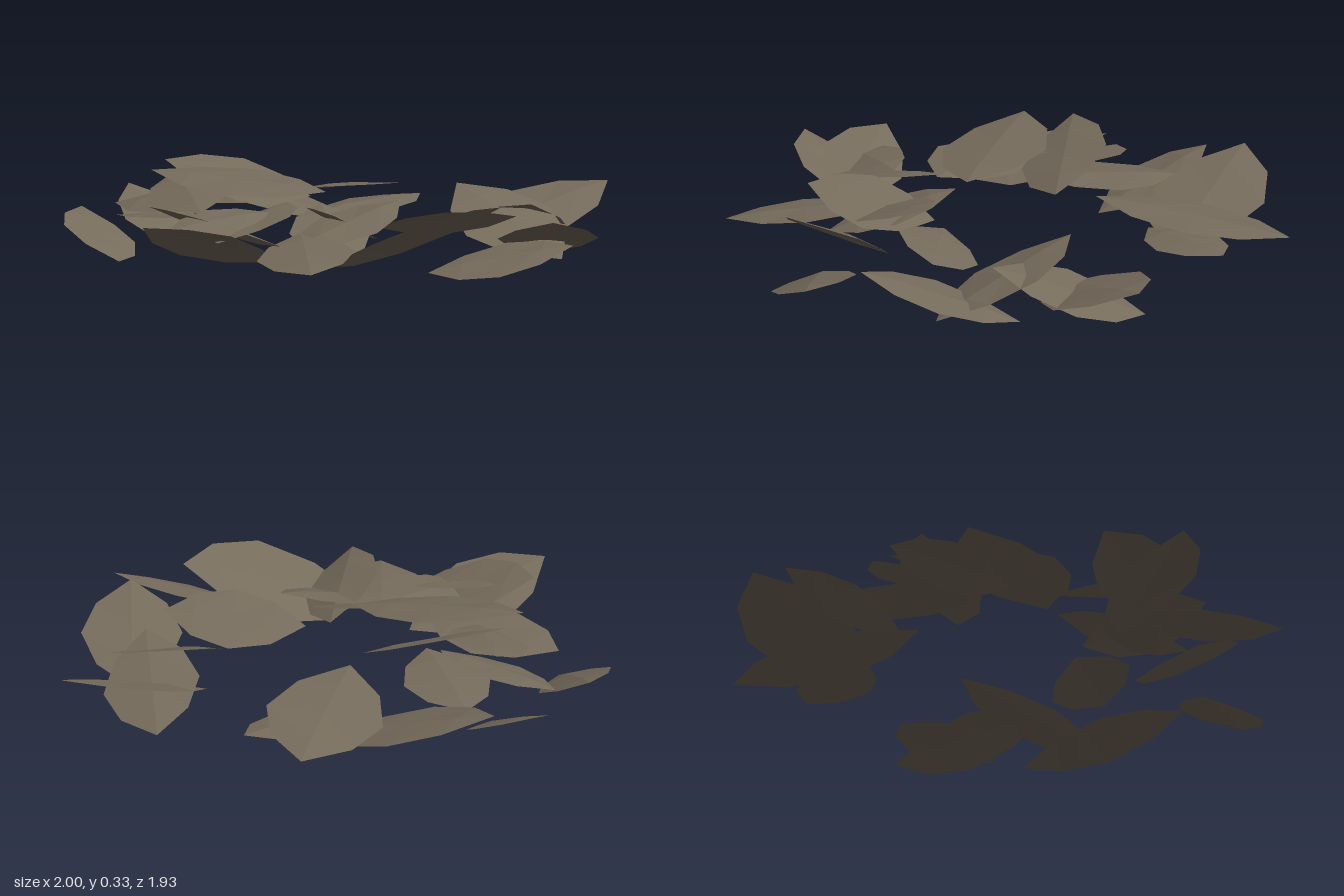
import * as THREE from 'three';

// Each leaf: tip x,y,z, base x,y,z, sideways roll (rise per unit across)
const LEAVES = {
  backRight: [
    [0.37, 0.215, -0.97, 0.2, 0.07, -0.42, 0.22],
    [0.11, 0.025, -0.77, 0.49, 0.21, -0.41, 0.18],
    [0.13, 0.245, -0.45, 0.69, 0.05, -0.33, -0.2],
    [0.83, 0.215, -0.11, 0.46, 0.03, -0.51, 0],
    [0.58, 0.2, -0.22, 0.19, 0.16, 0.07, -0.42],
  ],
  backLeft: [
    [-0.59, 0.125, -0.81, -0.27, 0.22, -0.21, -0.1],
    [-0.98, 0.235, -0.26, -0.36, 0.06, -0.47, 0],
    [-0.29, 0.13, -0.77, -0.38, 0.11, -0.35, 0],
  ],
  right: [
    [1, 0.165, -0.01, 0.59, 0.065, 0.27, 0.25],
    [0.7, 0.27, 0.01, 0.34, 0.09, 0.53, -0.45],
    [0.29, 0.26, 0.05, 0.2, 0.14, 0.5, 0.1],
    [0.385, 0.27, 0.52, 0.15, 0.16, 0.15, -0.42],
    [0.03, 0.24, 0.16, 0.36, 0.1, 0.46, 0],
    [0.5, 0.11, 0.79, 0.12, 0.17, 0.38, 0.1],
  ],
  front: [
    [-0.03, 0.25, 0.27, 0.05, 0.17, 0.74, -0.22],
    [-0.26, 0.265, 0.73, 0.18, 0.15, 0.56, 0.35],
    [-0.1, 0.235, 0.96, 0.06, 0.07, 0.45, 0.33],
    [0.03, 0.24, 0.44, -0.12, 0.2, 0.8, 0.25],
  ],
  left: [
    [-1, 0.18, -0.07, -0.6, 0.005, 0.07, 0],
    [-0.75, 0.16, -0.15, -0.32, 0.2, 0.12, 0],
    [-0.21, 0.21, -0.08, -0.62, 0.33, 0.2, 0.35],
    [0.02, 0.27, 0.12, -0.55, 0.32, 0.36, 0.1],
    [-0.62, 0.17, 0.46, -0.1, 0.2, 0.36, 0.12],
    [-0.84, 0.16, 0.2, -0.4, 0.22, 0.1, -0.2],
    [-0.67, 0.27, 0.09, -0.3, 0.2, 0.4, -0.2],
    [-0.88, 0.16, 0.33, -0.53, 0.03, 0.56, 0.28],
  ],
};

// Pointed eight-sided outline: position along the rib, share of half width
const STATIONS = [[0.21, 0.7], [0.48, 1], [0.77, 0.7]];

function leafGeometry([tx, ty, tz, bx, by, bz, roll]) {
  const tip = new THREE.Vector3(tx, ty, tz);
  const base = new THREE.Vector3(bx, by, bz);
  const along = base.clone().sub(tip);
  const half = along.length() * 0.3;
  const across = new THREE.Vector3(-along.z, 0, along.x).normalize();
  across.y = roll;
  across.normalize();

  // Tip, three rows of edge / rib / edge, base
  const points = [tip];
  for (const [t, w] of STATIONS) {
    for (const side of [-1, 0, 1]) {
      const p = tip.clone().addScaledVector(along, t).addScaledVector(across, side * w * half);
      p.y += side === 0 ? 0.01 : -0.004;
      points.push(p);
    }
  }
  points.push(base);

  const index = [0, 2, 1, 0, 3, 2];
  for (const row of [1, 4]) {
    for (const i of [row, row + 1]) index.push(i, i + 1, i + 3, i + 1, i + 4, i + 3);
  }
  index.push(7, 8, 10, 8, 9, 10);

  const geometry = new THREE.BufferGeometry().setFromPoints(points);
  geometry.setIndex(index);
  geometry.computeVertexNormals();
  return geometry;
}

export function createModel() {
  const model = new THREE.Group();
  model.name = 'scatteredLeaves';
  const dryLeaf = new THREE.MeshStandardMaterial({
    color: 0x766c5c, side: THREE.DoubleSide, flatShading: true,
  });
  dryLeaf.name = 'dryLeafBrown';

  for (const [place, leaves] of Object.entries(LEAVES)) {
    const cluster = new THREE.Group();
    cluster.name = `${place}Leaves`;
    leaves.forEach((leaf, i) => {
      const mesh = new THREE.Mesh(leafGeometry(leaf), dryLeaf);
      mesh.name = `${place}Leaf${i + 1}`;
      cluster.add(mesh);
    });
    model.add(cluster);
  }
  return model;
}
